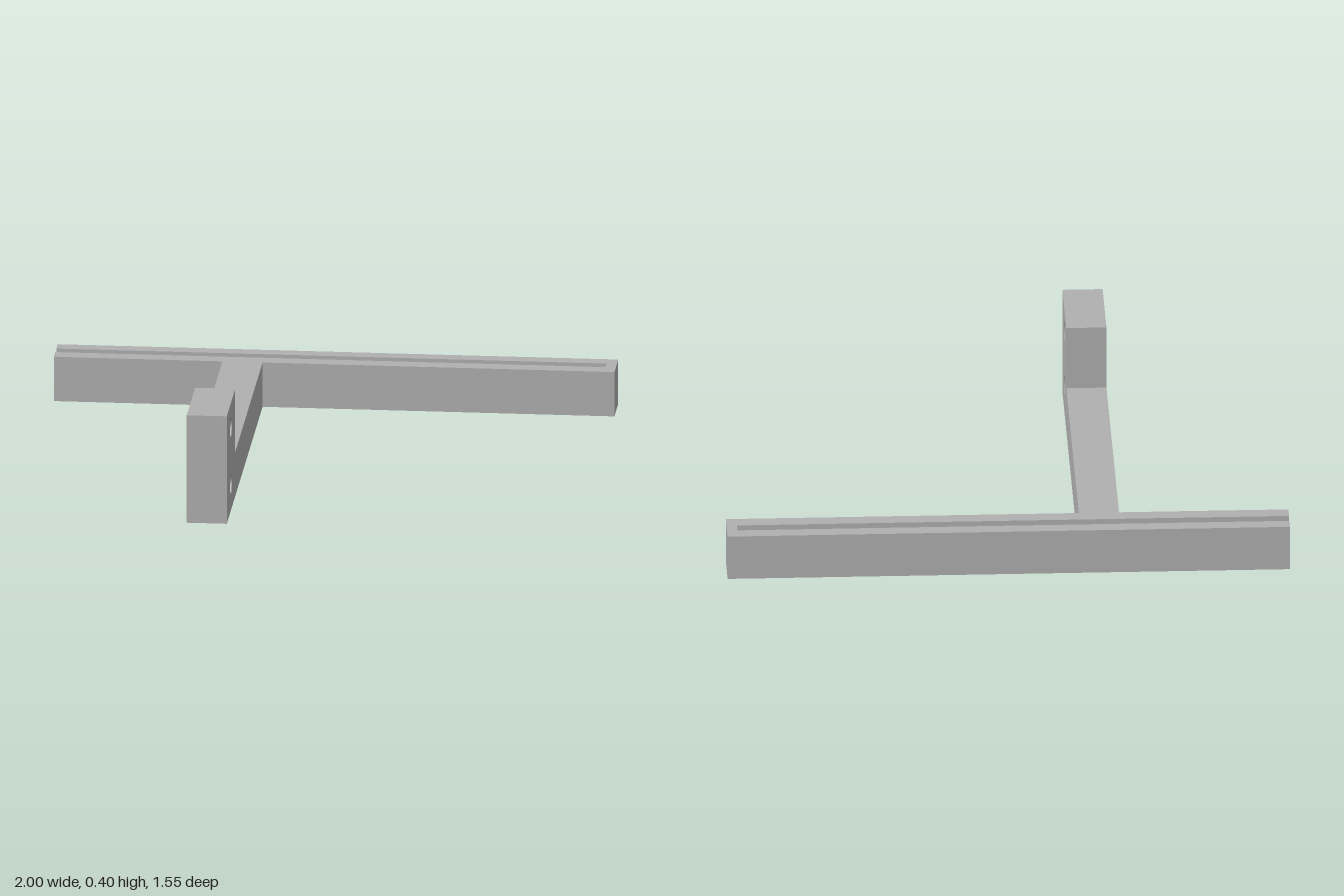
import * as THREE from 'three';
import { toCreasedNormals } from 'three/addons/utils/BufferGeometryUtils.js';

const grey = new THREE.MeshStandardMaterial({ color: 0xb0b0b0 });
grey.name = 'plain grey';

// Extrudes a (z, y) outline along x, from x0 to x1
function extrudeAlongX(name, shape, x0, x1) {
  const geo = new THREE.ExtrudeGeometry(shape, { depth: x1 - x0, bevelEnabled: false, curveSegments: 24 });
  geo.rotateY(-Math.PI / 2).translate(x1, 0, 0);
  const mesh = new THREE.Mesh(toCreasedNormals(geo, 0.5), grey);
  mesh.name = name;
  return mesh;
}

// Round hole with a pointed top
function teardrop(z, y, r) {
  const path = new THREE.Path();
  path.absarc(z, y, r, Math.PI * 0.75, Math.PI * 2.25, false);
  path.lineTo(z, y + r * Math.SQRT2);
  path.closePath();
  return path;
}

const HEIGHT = 0.165, BACK = -0.773, FRONT = 0.773, BAR_FRONT = -0.623;

// L-shaped side outline of the arm and its raised mounting block
function armShape(holeRadius) {
  const shape = new THREE.Shape([
    [BAR_FRONT, 0], [FRONT, 0], [FRONT, 0.4], [0.445, 0.4], [0.445, HEIGHT], [BAR_FRONT, HEIGHT],
  ].map(([z, y]) => new THREE.Vector2(z, y)));
  for (const y of [0.095, 0.306]) shape.holes.push(teardrop(0.61, y, holeRadius));
  return shape;
}

// Bar cross-section with a round-bottomed slot in the top
function slottedShape() {
  const zc = -0.7, r = 0.021, bottom = HEIGHT - 0.1;
  const s = new THREE.Shape();
  s.moveTo(BACK, 0);
  s.lineTo(BAR_FRONT, 0);
  s.lineTo(BAR_FRONT, HEIGHT);
  s.lineTo(zc + r, HEIGHT);
  s.lineTo(zc + r, bottom + r);
  s.absarc(zc, bottom + r, r, 0, -Math.PI, true);
  s.lineTo(zc - r, HEIGHT);
  s.lineTo(BACK, HEIGHT);
  s.closePath();
  return s;
}

export function createModel() {
  const model = new THREE.Group();
  model.name = 'slottedHolder';

  // Crossbar: slot runs out at one end and is closed at the other
  const endShape = new THREE.Shape([
    [BACK, 0], [BAR_FRONT, 0], [BAR_FRONT, HEIGHT], [BACK, HEIGHT],
  ].map(([z, y]) => new THREE.Vector2(z, y)));
  model.add(extrudeAlongX('slottedCrossbar', slottedShape(), -1, 0.963));
  model.add(extrudeAlongX('crossbarEnd', endShape, 0.963, 1));

  // Arm: screw holes on one side, wider counterbores on the other
  model.add(extrudeAlongX('armWithScrewHoles', armShape(0.034), -0.345, -0.255));
  model.add(extrudeAlongX('armWithCounterbores', armShape(0.06), -0.398, -0.345));
  return model;
}
